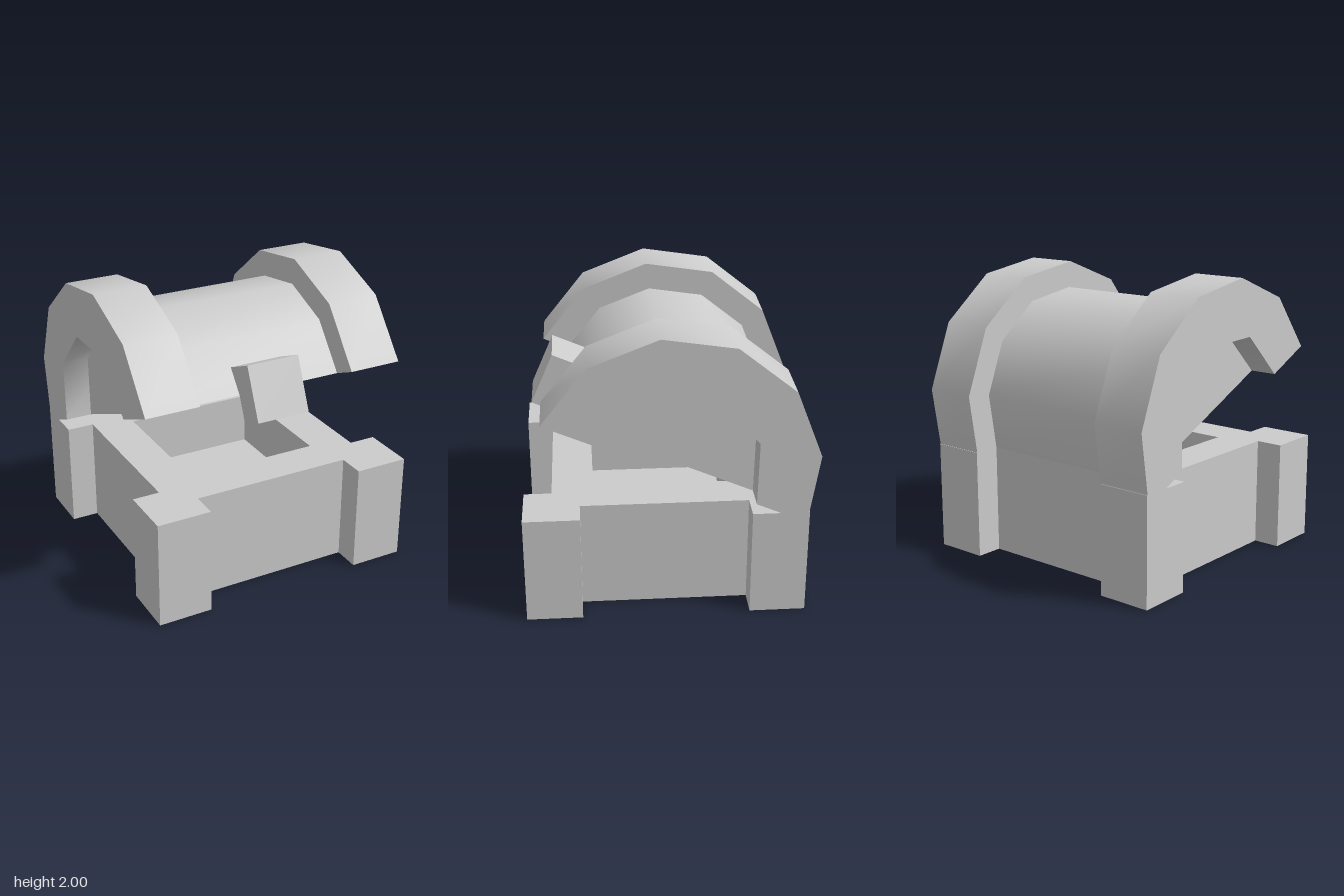
import * as THREE from 'three';
import { toCreasedNormals } from 'three/addons/utils/BufferGeometryUtils.js';

const U = 0.189;            // design unit
const CENTRE_Z = 0.03;
const BASE_H = 4 * U;
const material = new THREE.MeshStandardMaterial({ color: 0xcccccc });

const toPoints = (list) => list.map(([x, y]) => new THREE.Vector2(x * U, y * U));

// Points of a half circle, from front (+) over the top to the back (-)
function arc(radius, segments) {
  return Array.from({ length: segments + 1 }, (_, i) => {
    const a = (i / segments) * Math.PI;
    return [radius * Math.cos(a), radius * Math.sin(a)];
  });
}

function add(parent, name, geometry, x = 0, y = 0, z = 0) {
  const mesh = new THREE.Mesh(geometry, material);
  mesh.name = name;
  mesh.position.set(x, y, z);
  parent.add(mesh);
  return mesh;
}

// Extrude a side profile (z, y) across x, centred on x = 0
function acrossX(points, width) {
  const geometry = new THREE.ExtrudeGeometry(new THREE.Shape(toPoints(points)), {
    depth: width, bevelEnabled: false,
  });
  geometry.translate(0, 0, -width / 2).rotateY(-Math.PI / 2);
  return toCreasedNormals(geometry, THREE.MathUtils.degToRad(50));
}

// Extrude a ground plan upwards from y = 0
function upwards(shape, height) {
  return new THREE.ExtrudeGeometry(shape, { depth: height, bevelEnabled: false })
    .rotateX(-Math.PI / 2);
}

// Square plan with a projecting post on each corner
function basePlan() {
  const corner = [[4, 3], [5, 3], [5, 5], [3, 5], [3, 4]];
  const points = [];
  for (let q = 0; q < 4; q++) {
    for (const [x, y] of corner) {
      const c = [1, 0, -1, 0][q], s = [0, 1, 0, -1][q];
      points.push([x * c - y * s, x * s + y * c]);
    }
  }
  return new THREE.Shape(toPoints(points));
}

export function createModel() {
  const model = new THREE.Group();
  model.name = 'chest';

  // Base: solid lower half, upper half with a square well
  const base = new THREE.Group();
  base.name = 'base';
  base.position.z = CENTRE_Z;
  model.add(base);
  add(base, 'baseBottom', upwards(basePlan(), BASE_H / 2));
  const rim = basePlan();
  const w = 2.5;
  rim.holes.push(new THREE.Path(toPoints([[-w, -w], [-w, w], [w, w], [w, -w]])));
  add(base, 'baseRim', upwards(rim, BASE_H / 2), 0, BASE_H / 2);

  // Lid: tilted open about the top back edge of the base
  const hinge = new THREE.Group();
  hinge.name = 'lid';
  hinge.position.set(0, BASE_H, CENTRE_Z - 4 * U);
  hinge.rotation.x = THREE.MathUtils.degToRad(-23.7);
  model.add(hinge);
  const lidZ = 4 * U;

  add(hinge, 'lidBarrel', acrossX(arc(4, 6), 8 * U), 0, 0, lidZ);

  // Arched bands at both ends
  const bandProfile = [...arc(5, 6), ...arc(3.04, 4).reverse()];
  for (const side of [1, -1]) {
    add(hinge, side > 0 ? 'leftBand' : 'rightBand', acrossX(bandProfile, 2 * U), side * 4 * U, 0, lidZ);
  }

  // Latch: its back follows the slope of the barrel
  const latchProfile = [[4, -1], [5, -1], [5, 1], [3.7, 1], [3.95, 0], [4, 0]];
  add(hinge, 'latch', acrossX(latchProfile, 2 * U), 0, 0, lidZ);

  return model;
}
